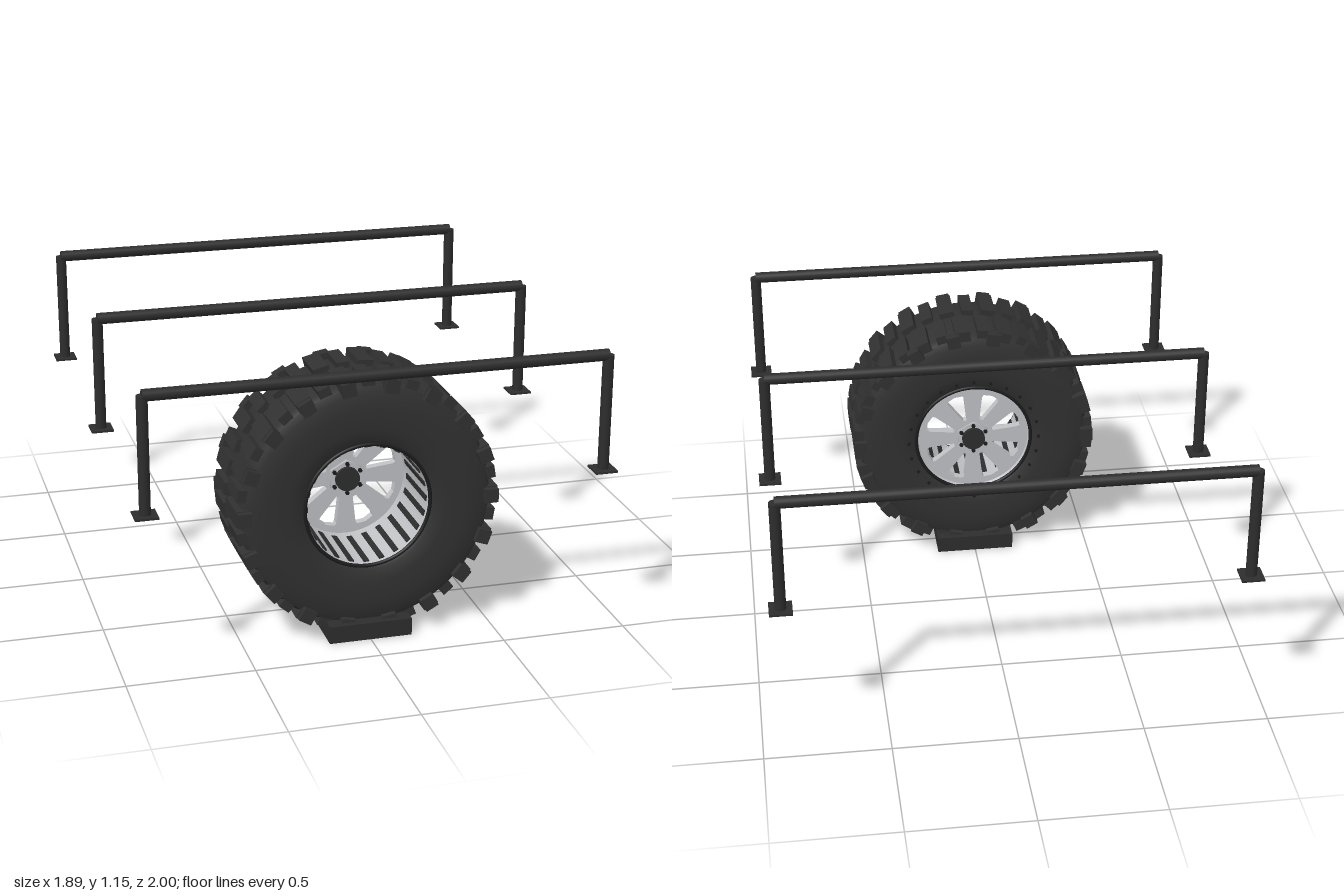
import * as THREE from 'three';
import { mergeGeometries, toCreasedNormals } from 'three/addons/utils/BufferGeometryUtils.js';

const mat = (name, color, side = THREE.FrontSide) => {
  const m = new THREE.MeshStandardMaterial({ color, side });
  m.name = name;
  return m;
};

export function createModel() {
  const rubber = mat('rubber', 0x313131);
  const paint = mat('dark metal', 0x2d2d2d);
  const alloy = mat('alloy', 0xbfc1c4);
  const black = mat('black trim', 0x1c1c1c);

  const model = new THREE.Group();
  const add = (parent, name, geo, material, x = 0, y = 0, z = 0) => {
    const mesh = new THREE.Mesh(geo, material);
    mesh.name = name;
    mesh.position.set(x, y, z);
    parent.add(mesh);
    return mesh;
  };

  // Repeats a geometry around the z axis, its local +x pointing outwards
  const ring = (geo, count, r, z, start = 0) => {
    const parts = [];
    for (let i = 0; i < count; i++) {
      parts.push(geo.clone().translate(r, 0, z).rotateZ(start + (i / count) * Math.PI * 2));
    }
    return mergeGeometries(parts);
  };

  // Revolves a profile of [radius, z] points around the z axis
  const revolve = (pts, segments = 72) => toCreasedNormals(
    new THREE.LatheGeometry(pts.map(p => new THREE.Vector2(p[0], p[1])), segments).rotateX(Math.PI / 2), 0.6);
  const disc = (r, depth, sides) => new THREE.CylinderGeometry(r, r, depth, sides).rotateX(Math.PI / 2);

  // Three roll-over frames, each a rail on two posts with foot plates
  for (const z of [-0.955, 0, 0.955]) {
    const frame = new THREE.Group();
    frame.name = 'barFrame';
    frame.position.z = z;
    add(frame, 'rail', new THREE.CylinderGeometry(0.023, 0.023, 1.8, 20).rotateZ(Math.PI / 2), paint, 0, 1.13, 0);
    for (const s of [-1, 1]) {
      add(frame, 'post', new THREE.CylinderGeometry(0.022, 0.022, 0.47, 20), paint, s * 0.9, 0.895, 0);
      add(frame, 'footPlate', new THREE.BoxGeometry(0.09, 0.008, 0.09), paint, s * 0.9, 0.664, 0);
    }
    model.add(frame);
  }

  // Wheel stand
  add(model, 'wheelStand', new THREE.BoxGeometry(0.334, 0.07, 0.47), paint, 0, 0.035, 0.62);

  const wheel = new THREE.Group();
  wheel.name = 'spareWheel';
  wheel.position.set(0, 0.543, 0.618);
  model.add(wheel);

  // Tyre carcass
  add(wheel, 'tyre', revolve([
    [0.25, -0.175], [0.27, -0.188], [0.32, -0.196], [0.4, -0.198], [0.46, -0.192], [0.487, -0.18], [0.5, -0.155],
    [0.5, 0.155], [0.487, 0.18], [0.46, 0.192], [0.4, 0.198], [0.32, 0.196], [0.27, 0.188], [0.25, 0.175],
  ]), rubber);

  // Two staggered rows of alternating tread lugs, and blocks on both shoulders
  const step = Math.PI / 18;
  for (const s of [-1, 1]) {
    const shift = s > 0 ? 0 : step / 2;
    add(wheel, 'wideLugs', ring(new THREE.BoxGeometry(0.045, 0.064, 0.165), 18, 0.503, s * 0.1045, shift), rubber);
    add(wheel, 'narrowLugs', ring(new THREE.BoxGeometry(0.04, 0.05, 0.155), 18, 0.504, s * 0.1, shift + step), rubber);
    add(wheel, 'shoulderBlocks', ring(new THREE.BoxGeometry(0.055, 0.056, 0.045), 18, 0.495, s * 0.189), rubber);
  }

  // Rim barrel, dark staves on its inside, and dark lips
  add(wheel, 'rimBarrel', revolve([
    [0.255, 0.178], [0.245, 0.178], [0.242, 0.16], [0.24, -0.165], [0.255, -0.178],
  ]), alloy);
  add(wheel, 'barrelStaves', ring(new THREE.BoxGeometry(0.006, 0.022, 0.25), 24, 0.239, 0.04), paint);
  for (const s of [-1, 1]) {
    add(wheel, 'rimLip', new THREE.TorusGeometry(0.252, 0.008, 8, 64), black, 0, 0, s * 0.178);
  }

  // Eight-spoke face, cut from a disc near the back of the barrel
  const face = new THREE.Shape().absarc(0, 0, 0.242, 0, Math.PI * 2);
  for (let i = 0; i < 8; i++) {
    const a = (i + 0.5) * Math.PI / 4;
    const at = (r, d) => new THREE.Vector2(r * Math.cos(a + d), r * Math.sin(a + d));
    face.holes.push(new THREE.Path([
      at(0.09, -0.08), at(0.198, -0.19), at(0.21, -0.17), at(0.215, 0),
      at(0.21, 0.17), at(0.198, 0.19), at(0.09, 0.08),
    ]));
  }
  add(wheel, 'spokes', new THREE.ExtrudeGeometry(face, { depth: 0.035, bevelEnabled: false, curveSegments: 32 }),
    alloy, 0, 0, -0.165);

  // Hub, cap and wheel nuts
  add(wheel, 'hub', disc(0.076, 0.055, 6), alloy, 0, 0, -0.145);
  add(wheel, 'hubCap', disc(0.05, 0.085, 24), paint, 0, 0, -0.145);
  add(wheel, 'wheelNuts', ring(disc(0.009, 0.075, 6), 6, 0.061, -0.145, Math.PI / 6), black);

  // Bead bolts round the back of the rim
  add(wheel, 'beadBolts', ring(disc(0.007, 0.014, 6), 24, 0.285, -0.192), black);

  return model;
}
